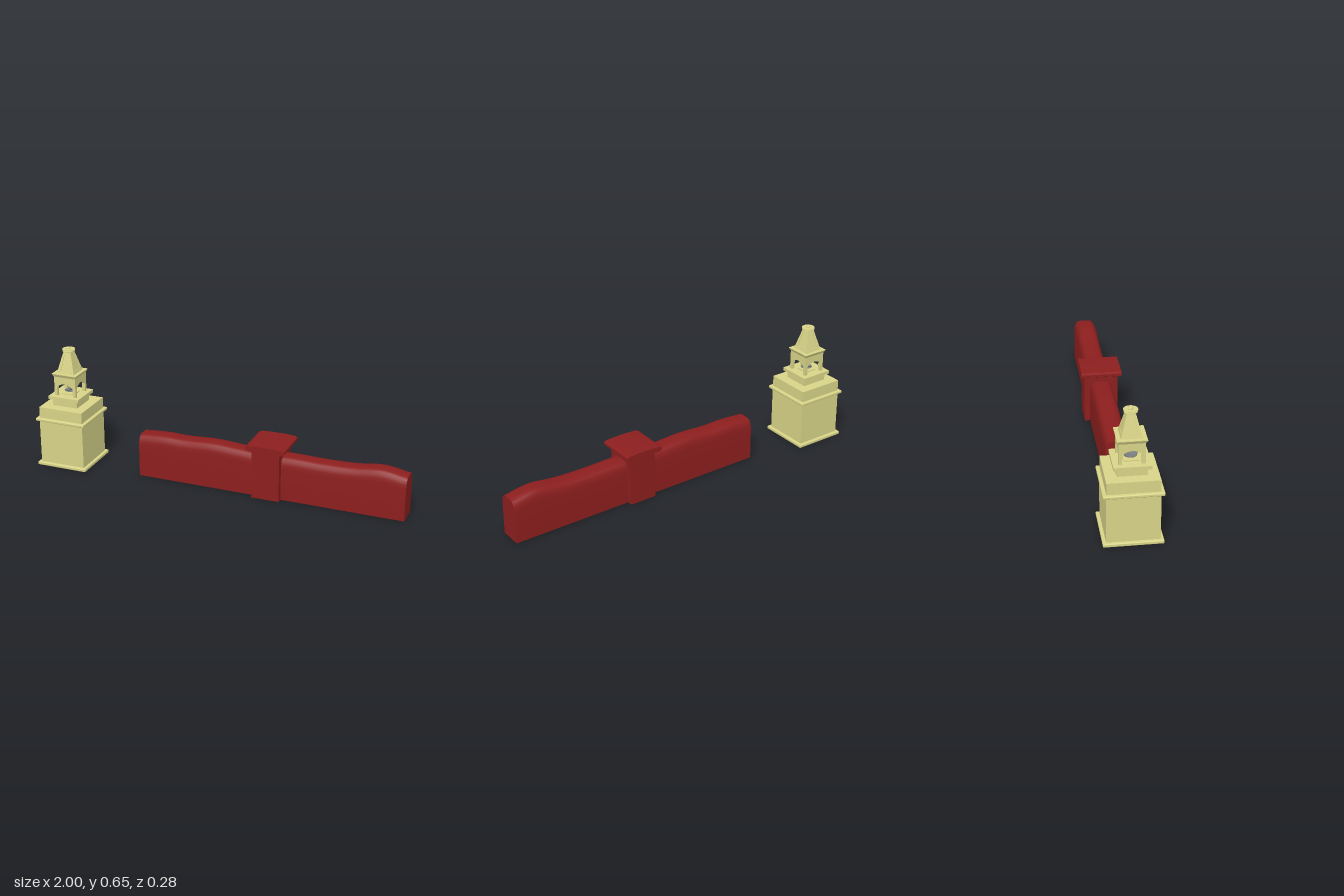
import * as THREE from 'three';
import { toCreasedNormals } from 'three/addons/utils/BufferGeometryUtils.js';
import { RoundedBoxGeometry } from 'three/addons/geometries/RoundedBoxGeometry.js';

const stone = new THREE.MeshStandardMaterial({ color: 0xd8d488 });
const red = new THREE.MeshStandardMaterial({ color: 0x8c1e1e });
const metal = new THREE.MeshStandardMaterial({ color: 0x777b7c, side: THREE.DoubleSide });

function add(parent, name, geometry, material, x = 0, y = 0, z = 0) {
  const mesh = new THREE.Mesh(geometry, material);
  mesh.name = name;
  mesh.position.set(x, y, z);
  parent.add(mesh);
  return mesh;
}

// Square block given by half width and its bottom and top heights
function block(parent, name, half, y0, y1, round = 0) {
  const h = y1 - y0;
  const geo = round
    ? new RoundedBoxGeometry(half * 2, h, half * 2, 3, round)
    : new THREE.BoxGeometry(half * 2, h, half * 2);
  return add(parent, name, geo, stone, 0, (y0 + y1) / 2);
}

// Square frustum with flat sides
function frustum(parent, name, bottom, top, y0, y1) {
  const geo = new THREE.CylinderGeometry(top * Math.SQRT2, bottom * Math.SQRT2, y1 - y0, 4)
    .rotateY(Math.PI / 4).toNonIndexed();
  geo.computeVertexNormals();
  return add(parent, name, geo, stone, 0, (y0 + y1) / 2);
}

function polygon(points, Type = THREE.Shape) {
  return new Type(points.map(([x, y]) => new THREE.Vector2(x, y)));
}

function extrude(shape, depth) {
  return new THREE.ExtrudeGeometry(shape, { depth, bevelEnabled: false, curveSegments: 16 });
}

function makeTower() {
  const tower = new THREE.Group();
  tower.name = 'bellTower';

  // Stepped base
  block(tower, 'footing', 0.142, 0, 0.018, 0.005);
  block(tower, 'body', 0.126, 0.01, 0.26);
  block(tower, 'bodyCornice', 0.142, 0.255, 0.271, 0.005);
  block(tower, 'upperBlock', 0.125, 0.265, 0.33);
  block(tower, 'neck', 0.071, 0.33, 0.369);
  block(tower, 'belfryFloor', 0.088, 0.368, 0.385);
  block(tower, 'dishPlinth', 0.035, 0.385, 0.39);

  // Four arched belfry walls
  const wall = new THREE.Shape();
  wall.moveTo(-0.062, 0.385);
  wall.lineTo(-0.045, 0.385);
  wall.lineTo(-0.045, 0.434);
  wall.quadraticCurveTo(-0.025, 0.453, 0, 0.453);
  wall.quadraticCurveTo(0.025, 0.453, 0.045, 0.434);
  wall.lineTo(0.045, 0.385);
  wall.lineTo(0.062, 0.385);
  wall.lineTo(0.062, 0.495);
  wall.lineTo(-0.062, 0.495);
  const wallGeo = extrude(wall, 0.017).translate(0, 0, 0.045);
  for (let i = 0; i < 4; i++) {
    add(tower, 'belfryWall', wallGeo, stone).rotation.y = i * Math.PI / 2;
  }
  frustum(tower, 'belfryCornice', 0.062, 0.07, 0.49, 0.505);
  block(tower, 'corniceTop', 0.07, 0.505, 0.508);

  // Tapering spire: inner core and four faces with sunken panels
  const y0 = 0.508, rise = 0.115, b = 0.05, t = 0.02, depth = 0.003;
  frustum(tower, 'spireCore', b - depth, t - depth, y0, y0 + rise);
  const slant = Math.hypot(rise, b - t);
  const face = polygon([[-b, 0], [b, 0], [t, slant], [-t, slant]]);
  face.holes.push(polygon([[-0.027, 0.017], [-0.015, 0.097], [0.015, 0.097], [0.027, 0.017]], THREE.Path));
  const faceGeo = extrude(face, depth)
    .translate(0, 0, -depth)
    .rotateX(-Math.atan2(b - t, rise))
    .translate(0, y0, b);
  for (let i = 0; i < 4; i++) {
    add(tower, 'spireFace', faceGeo, stone).rotation.y = i * Math.PI / 2;
  }

  // Round cap and finial
  const cap = [[0, 0.622], [0.033, 0.622], [0.033, 0.627], [0.03, 0.629], [0.03, 0.631],
    [0.034, 0.632], [0.034, 0.634], [0, 0.634]].map(p => new THREE.Vector2(...p));
  add(tower, 'spireCap', toCreasedNormals(new THREE.LatheGeometry(cap, 24), 0.6), stone);
  add(tower, 'finial', new THREE.SphereGeometry(0.0105, 16, 12), stone, 0, 0.635);

  // Tilted dish on a small cone inside the belfry
  const dish = [[0, -0.01], [0.018, -0.007], [0.033, 0], [0.031, 0.001], [0.016, -0.004], [0, -0.006]]
    .map(p => new THREE.Vector2(...p));
  add(tower, 'dish', new THREE.LatheGeometry(dish, 24), metal, 0, 0.411).rotation.z = 0.29;
  add(tower, 'dishStand', new THREE.CylinderGeometry(0.031, 0.003, 0.011, 24), metal, 0, 0.3955);
  return tower;
}

// Long wall lofted from a rounded section along an undulating crest
function wallGeometry() {
  const crest = new THREE.CatmullRomCurve3([
    [-0.434, 0.228], [-0.3, 0.237], [-0.18, 0.235], [-0.03, 0.243], [0.12, 0.235], [0.25, 0.228],
    [0.4, 0.232], [0.55, 0.229], [0.72, 0.233], [0.87, 0.249], [1, 0.228],
  ].map(([x, y]) => new THREE.Vector3(x, y, 0)));
  const half = [[0.059, 0.06], [0.057, 0.038], [0.052, 0.021], [0.044, 0.009], [0.032, 0.002], [0.015, 0]];
  const section = [...half, ...half.map(([z, d]) => [-z, d]).reverse()];
  const n = section.length + 2, steps = 44;
  const pos = [], idx = [];
  for (let i = 0; i <= steps; i++) {
    const p = crest.getPoint(i / steps);
    pos.push(p.x, 0, 0.059);
    for (const [z, drop] of section) pos.push(p.x, p.y - drop, z);
    pos.push(p.x, 0, -0.059);
  }
  for (let i = 0; i < steps; i++) {
    for (let k = 0; k < n; k++) {
      const a = i * n + k, c = i * n + (k + 1) % n;
      idx.push(a, a + n, c + n, a, c + n, c);
    }
  }
  const end = steps * n;
  for (let k = 1; k < n - 1; k++) {
    idx.push(0, k, k + 1, end, end + k + 1, end + k);
  }
  const geo = new THREE.BufferGeometry();
  geo.setAttribute('position', new THREE.Float32BufferAttribute(pos, 3));
  geo.setIndex(idx);
  return toCreasedNormals(geo, 0.7);
}

function makeWall() {
  const group = new THREE.Group();
  group.name = 'boundaryWall';
  add(group, 'wall', wallGeometry(), red);

  // Gate pier with an overhanging cap slab
  add(group, 'pier', new THREE.BoxGeometry(0.147, 0.265, 0.176), red, 0.281, 0.1325);
  const slab = polygon([[-0.088, 0.263], [0.088, 0.263], [0.104, 0.272], [0.104, 0.285],
    [0.09, 0.291], [0.04, 0.294], [-0.04, 0.294], [-0.09, 0.291], [-0.104, 0.285], [-0.104, 0.272]]);
  add(group, 'pierCap', extrude(slab, 0.212), red, 0.281, 0, -0.106);
  return group;
}

export function createModel() {
  const model = new THREE.Group();
  model.name = 'towerAndWall';
  const tower = makeTower();
  tower.position.x = -0.858;
  model.add(tower, makeWall());
  return model;
}
